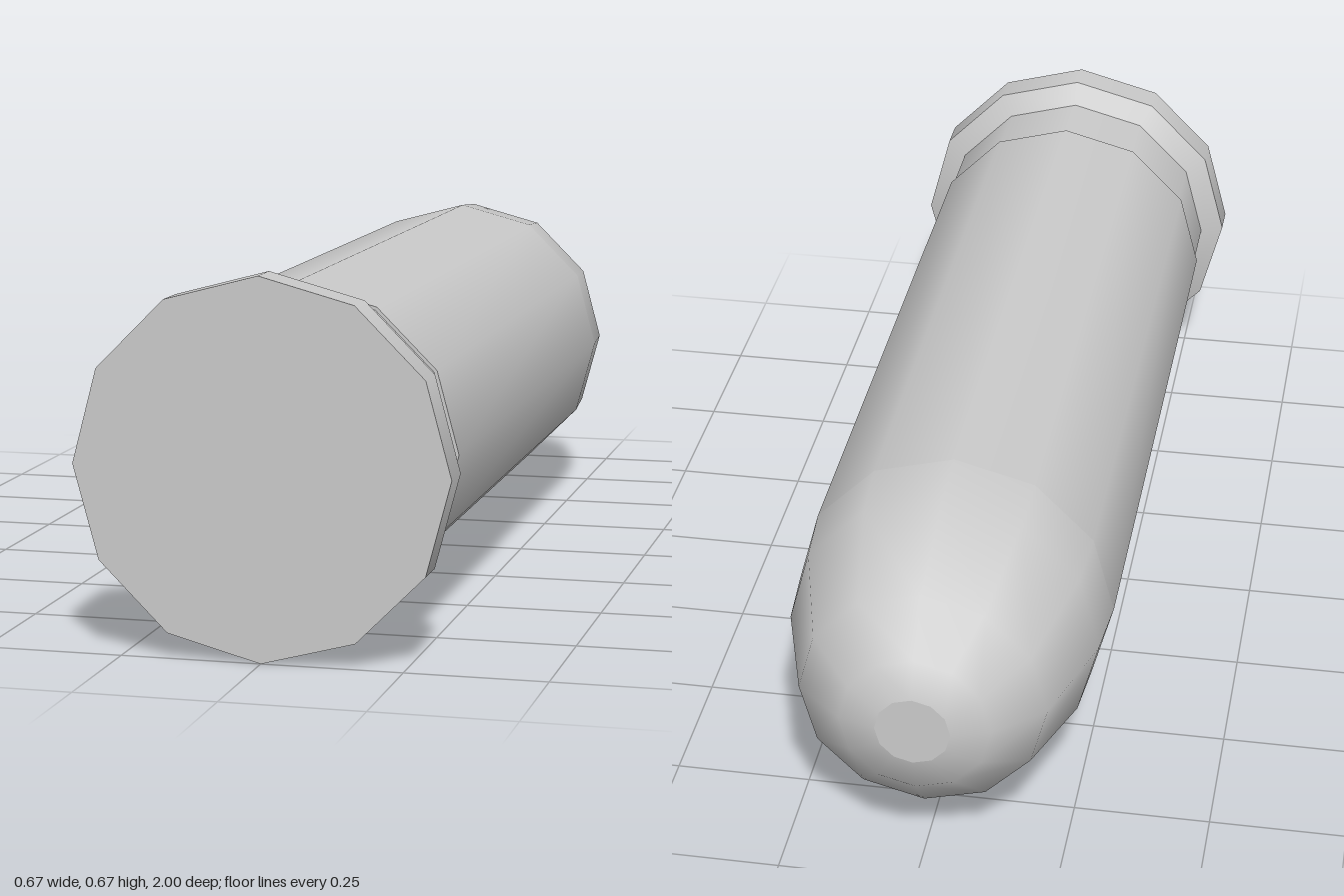
import * as THREE from 'three';

const SIDES = 12;
const material = new THREE.MeshStandardMaterial({ color: 0xcccccc });

// Turned section: profile of [radius, z] running from back to front
function turned(name, profile) {
  const points = profile.map(([r, z]) => new THREE.Vector2(r, z));
  const geometry = new THREE.LatheGeometry(points, SIDES);
  geometry.rotateX(Math.PI / 2);
  const mesh = new THREE.Mesh(geometry, material);
  mesh.name = name;
  return mesh;
}

export function createModel() {
  const model = new THREE.Group();
  model.name = 'cartridge';

  // Rounded nose with a small flat tip
  const nose = new THREE.Group();
  nose.name = 'nose';
  nose.add(
    turned('noseTip', [[0, -1], [0.067, -1]]),
    turned('noseDome', [[0.067, -1], [0.135, -0.98], [0.222, -0.905], [0.284, -0.7], [0.294, -0.58]])
  );

  // Straight case with a step down to the groove
  const body = new THREE.Group();
  body.name = 'case';
  body.add(
    turned('caseWall', [[0.294, -0.58], [0.294, 0.77]]),
    turned('caseStep', [[0.294, 0.77], [0.288, 0.77]]),
    turned('groove', [[0.288, 0.77], [0.288, 0.91]])
  );

  // Flared rim and flat base
  const rim = new THREE.Group();
  rim.name = 'rim';
  rim.add(
    turned('rimBevel', [[0.288, 0.91], [0.333, 0.932]]),
    turned('rimEdge', [[0.333, 0.932], [0.333, 1]]),
    turned('base', [[0.333, 1], [0, 1]])
  );

  model.add(nose, body, rim);
  for (const part of model.children) part.position.y = 0.333;
  return model;
}
